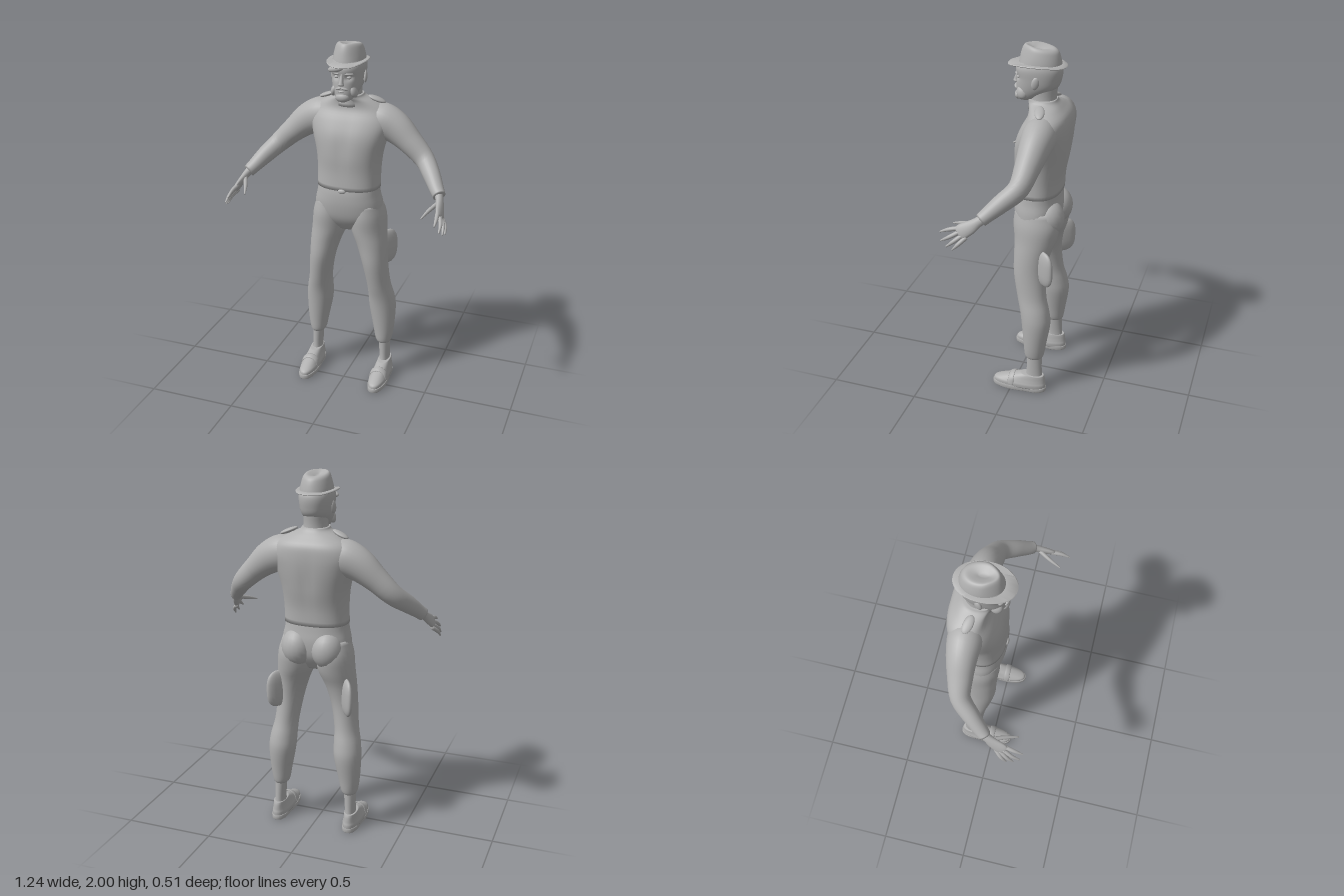
import * as THREE from 'three';
import { toCreasedNormals } from 'three/addons/utils/BufferGeometryUtils.js';

const V = (x, y, z) => new THREE.Vector3(x, y, z);
const grey = new THREE.MeshStandardMaterial({ color: 0xb0b0b0 });
grey.name = 'plain grey';

// Lofts rounded rings [cx, cy, cz, ra, rb]. Rings lie flat, or follow the path
// when a preferred width direction is given.
function loft(rows, { seg = 28, steps = 4, power = 2, width = null } = {}) {
  const centres = new THREE.CatmullRomCurve3(rows.map(r => V(r[0], r[1], r[2])), false, 'catmullrom');
  const radii = new THREE.CatmullRomCurve3(rows.map(r => V(r[3], r[4], 0)), false, 'catmullrom');
  const n = (rows.length - 1) * steps, pos = [], idx = [];
  const bend = v => Math.sign(v) * Math.pow(Math.abs(v), 2 / power);
  for (let i = 0; i <= n; i++) {
    const c = centres.getPoint(i / n), r = radii.getPoint(i / n);
    let A = V(1, 0, 0), B = V(0, 0, 1);
    if (width) {
      const T = centres.getTangent(i / n);
      A = width.clone().addScaledVector(T, -width.dot(T)).normalize();
      B = A.clone().cross(T);
    }
    for (let j = 0; j < seg; j++) {
      const a = j / seg * Math.PI * 2;
      const p = c.clone().addScaledVector(A, bend(Math.cos(a)) * r.x).addScaledVector(B, bend(Math.sin(a)) * r.y);
      pos.push(p.x, p.y, p.z);
    }
  }
  for (const row of [rows[0], rows[rows.length - 1]]) pos.push(row[0], row[1], row[2]);
  const end = (n + 1) * seg;
  for (let j = 0; j < seg; j++) {
    const k = (j + 1) % seg;
    for (let i = 0; i < n; i++) {
      const a = i * seg + j, b = i * seg + k;
      idx.push(a, a + seg, b, b, a + seg, b + seg);
    }
    idx.push(end, j, k, end + 1, n * seg + k, n * seg + j);
  }
  const g = new THREE.BufferGeometry();
  g.setAttribute('position', new THREE.Float32BufferAttribute(pos, 3));
  g.setIndex(idx);
  g.computeVertexNormals();
  return g;
}

// Flat rings given as [y, half width, front z, back z]
const body = (rows, opts, cx = 0) =>
  loft(rows.map(([y, rx, f, b, x = cx]) => [x, y, (f + b) / 2, rx, (f - b) / 2]), opts);

function ellipsoid(c, r, turn = [0, 0, 0]) {
  const g = new THREE.SphereGeometry(1, 20, 14);
  g.scale(...r);
  g.rotateX(turn[0]).rotateY(turn[1]).rotateZ(turn[2]);
  return g.translate(...c);
}

function mirrored(geometry) {
  const g = geometry.clone().scale(-1, 1, 1), ix = g.index.array;
  for (let i = 0; i < ix.length; i += 3) [ix[i], ix[i + 1]] = [ix[i + 1], ix[i]];
  return g;
}

// Moves every vertex by a rule
function shape(g, rule) {
  const p = g.attributes.position, v = V(0, 0, 0);
  for (let i = 0; i < p.count; i++) {
    rule(v.fromBufferAttribute(p, i));
    p.setXYZ(i, v.x, v.y, v.z);
  }
  g.computeVertexNormals();
  return g;
}

export function createModel() {
  const model = new THREE.Group();
  const add = (name, g) => {
    const m = new THREE.Mesh(g, grey);
    m.name = name;
    model.add(m);
  };
  const pair = (name, g) => {
    add(name + 'Left', g);
    add(name + 'Right', mirrored(g));
  };

  // Shirt, with a shallow groove down the spine and between the chest muscles
  add('shirt', shape(body([
    [1.205, 0.176, 0.034, -0.22], [1.3, 0.175, 0.03, -0.226], [1.4, 0.184, 0.033, -0.245],
    [1.5, 0.21, 0.022, -0.258], [1.58, 0.228, -0.01, -0.26], [1.64, 0.2, -0.042, -0.25],
    [1.68, 0.14, -0.045, -0.215], [1.705, 0.085, -0.034, -0.19], [1.722, 0.07, -0.03, -0.18],
  ], { seg: 48, power: 2.4 }), v => {
    const groove = Math.exp(-((v.x / 0.035) ** 2)) * Math.exp(-(((v.y - 1.46) / 0.12) ** 2));
    v.z -= Math.sign(v.z + 0.11) * 0.008 * groove;
  }));
  pair('shoulderPatch', ellipsoid([0.142, 1.692, -0.13], [0.05, 0.012, 0.026], [0, 0.25, -0.38]));

  // Sleeves and cuffs
  const up = V(0, 1, 0);
  pair('sleeve', loft([
    [0.1, 1.58, -0.14, 0.08, 0.08], [0.17, 1.575, -0.14, 0.097, 0.09], [0.25, 1.54, -0.138, 0.088, 0.08],
    [0.335, 1.472, -0.128, 0.068, 0.066], [0.42, 1.393, -0.108, 0.056, 0.053],
    [0.48, 1.332, -0.04, 0.048, 0.046], [0.525, 1.28, 0.02, 0.038, 0.038], [0.545, 1.258, 0.045, 0.036, 0.033],
  ], { width: up }));

  // Hand: palm, then four fingers and a thumb
  const across = V(-0.25, 0.62, 0.72).normalize();
  pair('palm', loft([
    [0.535, 1.268, 0.03, 0.027, 0.024], [0.55, 1.247, 0.06, 0.026, 0.02], [0.563, 1.22, 0.095, 0.035, 0.018],
    [0.574, 1.195, 0.135, 0.04, 0.015], [0.58, 1.182, 0.152, 0.034, 0.011],
  ], { width: across, seg: 16 }));
  const fingers = {
    thumb: [[0.55, 1.235, 0.08], [0.517, 1.212, 0.15], [0.494, 1.19, 0.213]],
    indexFinger: [[0.565, 1.207, 0.15], [0.573, 1.195, 0.205], [0.575, 1.175, 0.253]],
    middleFinger: [[0.575, 1.193, 0.145], [0.594, 1.165, 0.195], [0.597, 1.137, 0.243]],
    ringFinger: [[0.58, 1.178, 0.13], [0.603, 1.146, 0.172], [0.609, 1.115, 0.21]],
    littleFinger: [[0.58, 1.168, 0.112], [0.607, 1.137, 0.145], [0.615, 1.105, 0.175]],
  };
  for (const [name, [a, b, c]] of Object.entries(fingers)) {
    pair(name, loft([[...a, 0.012, 0.012], [...b, 0.0105, 0.01], [...c, 0.004, 0.004]],
      { width: across, seg: 10 }));
  }

  // Trousers: hips, seat, legs and front button
  add('hips', body([
    [0.95, 0.09, -0.04, -0.16], [0.99, 0.15, -0.005, -0.19], [1.04, 0.19, 0.02, -0.215],
    [1.11, 0.19, 0.033, -0.222], [1.17, 0.177, 0.034, -0.215], [1.215, 0.171, 0.028, -0.21],
  ], { seg: 40, power: 2.3 }));
  pair('seat', ellipsoid([0.085, 1.07, -0.165], [0.088, 0.105, 0.09]));
  add('waistButton', ellipsoid([0, 1.203, 0.034], [0.022, 0.013, 0.01]));
  pair('trouserLeg', body([
    [0.225, 0.036, -0.085, -0.175, 0.207], [0.245, 0.047, -0.075, -0.186, 0.205],
    [0.32, 0.06, -0.068, -0.198, 0.203], [0.45, 0.076, -0.055, -0.217, 0.194],
    [0.53, 0.074, -0.043, -0.208, 0.188], [0.62, 0.066, -0.022, -0.187, 0.176],
    [0.75, 0.072, 0.002, -0.178, 0.158], [0.86, 0.086, 0.006, -0.193, 0.138],
    [0.95, 0.101, 0.01, -0.222, 0.116], [1.04, 0.1, 0.018, -0.235, 0.108], [1.12, 0.08, 0.01, -0.21, 0.105],
  ]));

  // Slim pouches standing out from the back corner of each thigh
  pair('thighPouch', shape(ellipsoid([0, 0, 0], [1, 1, 1]), v => {
    const f = p => Math.sign(p) * Math.pow(Math.abs(p), 0.75);
    const s = 0.075 * f(v.x), t = 0.024 * v.z, h = 0.105 * f(v.y);
    v.set(0.198 + 0.58 * s + 0.81 * t, 0.815 + h, -0.176 - 0.81 * s + 0.58 * t);
  }));

  // Ankles and slip-on shoes
  pair('ankle', body([
    [0.07, 0.033, -0.075, -0.185, 0.212], [0.13, 0.029, -0.088, -0.178, 0.212], [0.26, 0.034, -0.09, -0.175, 0.207],
  ]));
  const soleRows = [[0, 0.05, 0.108, -0.2], [0.006, 0.055, 0.115, -0.206], [0.026, 0.055, 0.115, -0.206], [0.028, 0.052, 0.11, -0.202]];
  pair('shoeSole', shape(body(soleRows, { steps: 1, power: 2.4 }, 0.215), v => {
    v.x = 0.215 + (v.x - 0.215) * (1 - 0.14 * Math.exp(-(((v.z + 0.09) / 0.05) ** 2)));
  }));
  pair('shoeUpper', body([
    [0.024, 0.051, 0.11, -0.202], [0.045, 0.052, 0.106, -0.203], [0.06, 0.047, 0.078, -0.2],
    [0.078, 0.041, 0.03, -0.198], [0.095, 0.037, -0.02, -0.195], [0.108, 0.034, -0.06, -0.19],
  ], { power: 2.3 }, 0.215));
  pair('shoeStrap', loft([
    [0.163, 0.035, -0.005, 0.018, 0.004], [0.172, 0.07, -0.005, 0.018, 0.004], [0.192, 0.089, -0.005, 0.018, 0.004],
    [0.215, 0.096, -0.005, 0.018, 0.004], [0.238, 0.089, -0.005, 0.018, 0.004],
    [0.258, 0.07, -0.005, 0.018, 0.004], [0.267, 0.035, -0.005, 0.018, 0.004],
  ], { width: V(0, -0.35, 0.94), seg: 10, steps: 3 }));

  // Neck and head, with hollowed eye sockets
  add('neck', body([[1.66, 0.074, -0.03, -0.185], [1.73, 0.064, -0.035, -0.178], [1.8, 0.066, -0.03, -0.185]]));
  add('head', shape(body([
    [1.703, 0.022, 0.02, -0.03], [1.715, 0.045, 0.032, -0.07], [1.745, 0.064, 0.036, -0.13],
    [1.785, 0.079, 0.034, -0.185], [1.83, 0.087, 0.031, -0.203], [1.88, 0.09, 0.035, -0.208],
    [1.92, 0.08, 0.01, -0.19],
  ], { seg: 56, steps: 6, power: 2.15 }), v => {
    if (v.z > -0.03) for (const s of [-1, 1])
      v.z -= 0.014 * Math.exp(-(((v.x - s * 0.036) / 0.018) ** 2) - (((v.y - 1.833) / 0.014) ** 2));
  }));
  add('nose', loft([
    [0, 1.789, 0.034, 0.008, 0.006], [0, 1.797, 0.038, 0.016, 0.015], [0, 1.808, 0.037, 0.012, 0.014],
    [0, 1.84, 0.029, 0.008, 0.009], [0, 1.86, 0.026, 0.008, 0.006],
  ], { seg: 14 }));
  pair('eye', ellipsoid([0.034, 1.833, 0.014], [0.013, 0.008, 0.01]));
  pair('brow', ellipsoid([0.037, 1.853, 0.023], [0.024, 0.006, 0.009], [0, 0.35, 0]));
  pair('ear', ellipsoid([0.088, 1.822, -0.09], [0.011, 0.034, 0.02], [-0.2, 0.3, 0]));
  pair('moustache', ellipsoid([0.017, 1.776, 0.034], [0.02, 0.007, 0.009], [0, 0.3, -0.3]));
  add('lowerLip', ellipsoid([0, 1.76, 0.036], [0.016, 0.005, 0.007]));
  add('chinBeard', ellipsoid([0, 1.727, 0.021], [0.038, 0.026, 0.024]));
  pair('cheekBeard', ellipsoid([0.052, 1.757, -0.01], [0.019, 0.035, 0.03], [0.2, 0, 0.35]));
  add('fringe', ellipsoid([-0.035, 1.875, 0.022], [0.05, 0.018, 0.019], [0, -0.25, 0.25]));

  // Brimmed hat with a pinched crown that falls toward the back
  const brim = shape(body([
    [1.9, 0.08, 0.025, -0.195], [1.896, 0.104, 0.076, -0.228], [1.899, 0.107, 0.08, -0.232],
    [1.903, 0.104, 0.076, -0.228], [1.908, 0.085, 0.02, -0.202],
  ], { seg: 40, steps: 1, power: 2.1 }), v => {
    const edge = Math.max(0, Math.abs(v.x) - 0.06);
    v.y += edge * 0.2 - 0.05 * Math.max(0, v.z);
  });
  add('hatBrim', toCreasedNormals(brim, 0.7));
  add('hatCrown', shape(body([
    [1.9, 0.087, 0.022, -0.204], [1.93, 0.083, 0.016, -0.2], [1.965, 0.075, 0.008, -0.193],
    [1.99, 0.066, -0.002, -0.183], [2.0, 0.052, -0.014, -0.165], [1.992, 0.03, -0.035, -0.135],
    [1.98, 0.008, -0.06, -0.105],
  ], { seg: 40 }), v => {
    const high = Math.max(0, (v.y - 1.9) / 0.1);
    v.y += high * 0.16 * Math.min(0, v.z + 0.05);
    if (v.z > -0.07) v.x *= 1 - 0.18 * high * Math.min(1, (v.z + 0.07) / 0.06);
  }));

  return model;
}
